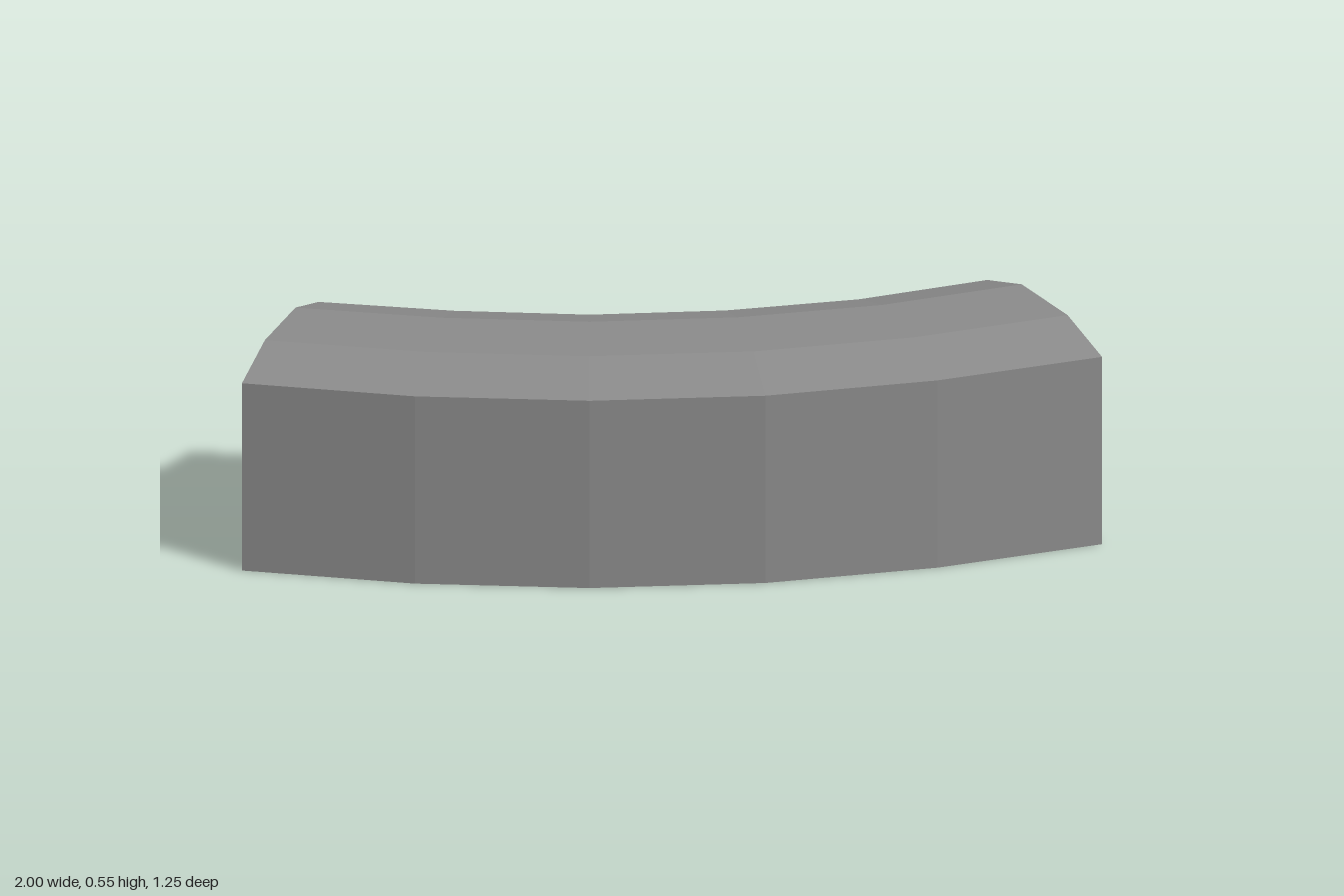
import * as THREE from 'three';

const mat = (name, color, side = THREE.FrontSide) =>
  new THREE.MeshStandardMaterial({ name, color, flatShading: true, side });

// Plan of the bend: matching [x, z] stations on the inner and outer walls
const INNER = [[1, 0], [0.65, -0.024], [0.317, -0.106], [0, -0.236], [-0.288, -0.417], [-0.56, -0.63]];
const OUTER = [[1, 0.625], [0.556, 0.586], [0.123, 0.486], [-0.285, 0.316], [-0.659, 0.086], [-1, -0.197]];
const STATIONS = [0, 1, 2, 3, 4, 5];
const lerp = THREE.MathUtils.lerp;

// t = station along the bend, u = 0 (inner wall) .. 1 (outer wall), y = height
function place(t, u, y) {
  const i = Math.min(4, Math.floor(t)), f = t - i;
  const at = (k) => lerp(
    lerp(INNER[i][k], INNER[i + 1][k], f),
    lerp(OUTER[i][k], OUTER[i + 1][k], f), u);
  return [at(0), y, at(1)];
}

function geometryFrom(positions) {
  const g = new THREE.BufferGeometry();
  g.setAttribute('position', new THREE.Float32BufferAttribute(positions, 3));
  g.computeVertexNormals();
  return g;
}

// Flat section at station t, facing along the bend or back against it
function cap(out, t, contour, holes, forward) {
  const v = (list) => list.map(([u, y]) => new THREE.Vector2(u, y));
  const all = [contour, ...holes].flat();
  for (const f of THREE.ShapeUtils.triangulateShape(v(contour), holes.map(v))) {
    const order = forward ? f : [f[0], f[2], f[1]];
    for (const k of order) out.push(...place(t, ...all[k]));
  }
}

// Sweep a counter-clockwise profile through the given stations
function sweep(profile, ts, { capped = false, inward = false } = {}) {
  const out = [];
  for (let s = 0; s < ts.length - 1; s++) {
    profile.forEach((a, i) => {
      const b = profile[(i + 1) % profile.length];
      const a0 = place(ts[s], ...a), b0 = place(ts[s], ...b);
      const a1 = place(ts[s + 1], ...a), b1 = place(ts[s + 1], ...b);
      const tris = inward ? [a0, b1, b0, a0, a1, b1] : [a0, b0, b1, a0, b1, a1];
      out.push(...tris.flat());
    });
  }
  if (capped) {
    cap(out, ts[0], profile, [], false);
    cap(out, ts[ts.length - 1], profile, [], true);
  }
  return geometryFrom(out);
}

const mirror = (half) => half.map(([u, y]) => [1 - u, y]).reverse();
const rect = (u0, u1, y0, y1) => [[u0, y0], [u1, y0], [u1, y1], [u0, y1]];

export function createModel() {
  const stone = mat('grey stone', 0x8a8a8a);
  const earth = mat('brown earth', 0x685f49);
  const timber = mat('brown timber', 0x686049);
  const track = mat('dark track', 0x4c4534);

  const model = new THREE.Group();
  model.name = 'curvedMineTunnel';
  const add = (name, geometry, material, parent = model) => {
    const mesh = new THREE.Mesh(geometry, material);
    mesh.name = name;
    parent.add(mesh);
  };
  const group = (name) => {
    const g = new THREE.Group();
    g.name = name;
    model.add(g);
    return g;
  };

  // Outer shell and hollow lining
  const shellHalf = [[1, 0], [1, 0.5], [0.7, 0.55]];
  const shell = [...shellHalf, ...mirror(shellHalf)];
  const boreHalf = [[0.63, 0.063], [0.95, 0.036], [0.95, 0.328], [0.87, 0.465], [0.69, 0.512]];
  const bore = [...boreHalf, ...mirror(boreHalf)];
  add('outerShell', sweep(shell, STATIONS), stone);
  add('innerLining', sweep(bore, STATIONS, { inward: true }), earth);

  // Rims around both mouths
  const rims = [];
  cap(rims, 0, shell, [bore], false);
  cap(rims, 5, shell, [bore], true);
  add('mouthRims', geometryFrom(rims), earth);

  // Timber support frames, one in the middle of each stretch
  const outerHalf = [[0.905, 0.036], [0.85, 0.465], [0.68, 0.51]];
  const innerHalf = [[0.845, 0.036], [0.79, 0.42], [0.65, 0.472]];
  const frame = [
    ...outerHalf, ...mirror(outerHalf),
    ...mirror(innerHalf).reverse(), ...innerHalf.slice().reverse(),
  ];
  const frames = group('supportFrames');
  for (let i = 0; i < 5; i++) {
    add('supportFrame', sweep(frame, [i + 0.44, i + 0.56], { capped: true }), timber, frames);
  }

  // Rails and cross ties
  const rails = group('railTrack');
  for (const u of [0.4, 0.6]) {
    add('rail', sweep(rect(u - 0.012, u + 0.012, 0.06, 0.085),
      [0.05, 1, 2, 3, 4, 4.95], { capped: true }), track, rails);
  }
  const tie = rect(0.33, 0.67, 0.056, 0.073);
  for (let i = 0; i < 30; i++) {
    const t = (i + 0.5) / 6;
    add('tie', sweep(tie, [t - 0.028, t + 0.028], { capped: true }), track, rails);
  }
  return model;
}
